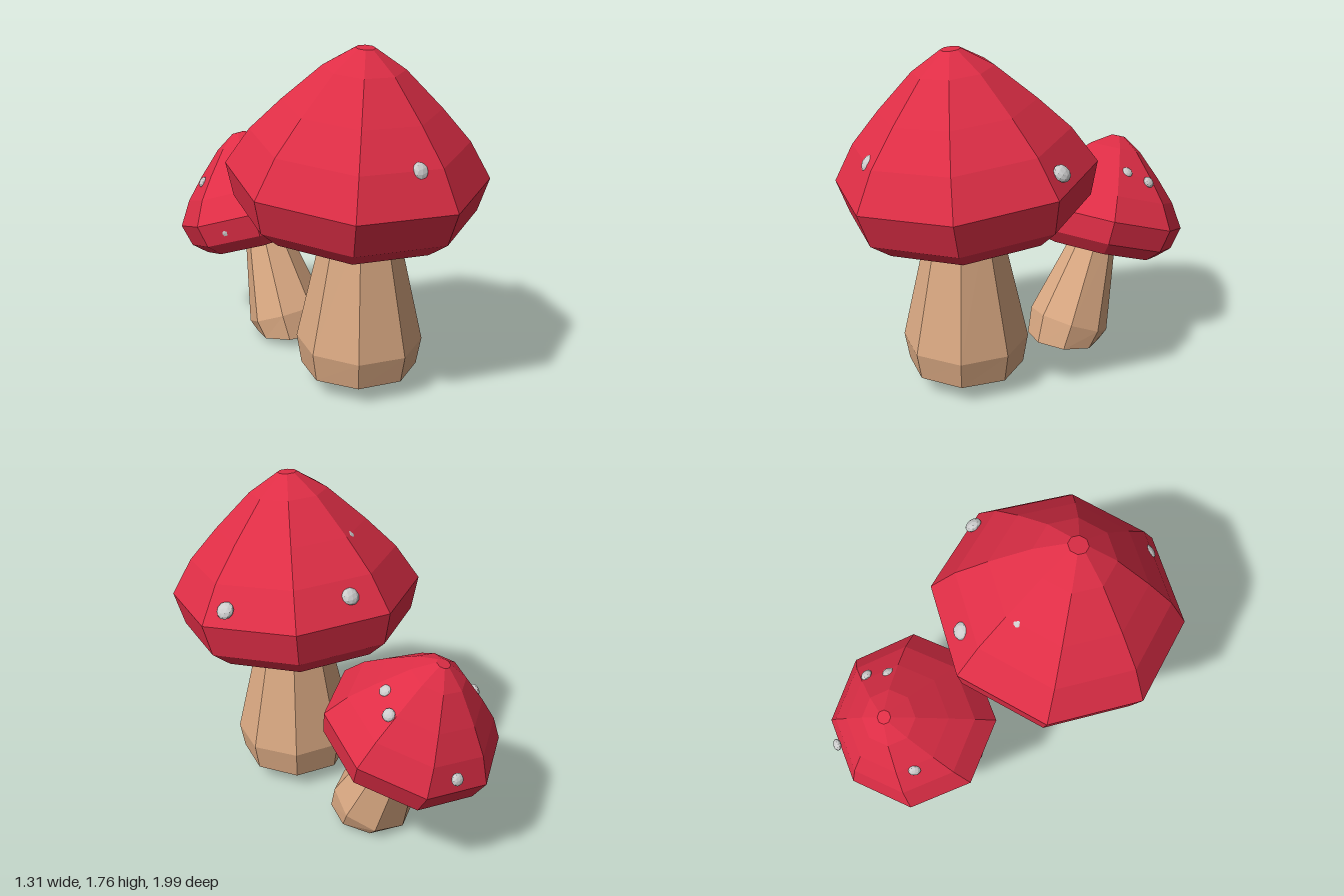
import * as THREE from 'three';

const material = (color) => new THREE.MeshStandardMaterial({ color, flatShading: true });
const red = material(0xdf2e46);
const tan = material(0xd9a882);
const grey = material(0xcccccc);

const SIDES = 8;

// Cap outline [radius, height], from the lower edge to the flat tip
const CAP_PROFILE = [
  [0.505, 0], [0.61, 0.09], [0.655, 0.265], [0.54, 0.45],
  [0.39, 0.61], [0.2, 0.79], [0.05, 0.885], [0, 0.885],
].map(([r, y]) => new THREE.Vector2(r, y));

function addMesh(parent, name, geometry, mat) {
  const mesh = new THREE.Mesh(geometry, mat);
  mesh.name = name;
  parent.add(mesh);
  return mesh;
}

// Eight-sided stem through three rings: [x, y, z, radius, tilt about x]
function stemGeometry(rings) {
  const geometry = new THREE.CylinderGeometry(1, 1, 2, SIDES, 2);
  const pos = geometry.attributes.position;
  for (let i = 0; i < pos.count; i++) {
    const [x, y, z, r, tilt] = rings[Math.round(pos.getY(i) + 1)];
    const along = pos.getZ(i) * r;
    pos.setXYZ(i, x + pos.getX(i) * r, y - along * Math.sin(tilt), z + along * Math.cos(tilt));
  }
  geometry.computeVertexNormals();
  return geometry;
}

function createMushroom(name, { stem, base, rotation, scale, spots }) {
  const mushroom = new THREE.Group();
  mushroom.name = name;
  addMesh(mushroom, 'stem', stemGeometry(stem), tan);

  // Tilted cap with a flat underside
  const cap = new THREE.Group();
  cap.name = 'cap';
  cap.position.set(...base);
  cap.rotation.set(...rotation);
  cap.scale.setScalar(scale);
  mushroom.add(cap);
  cap.updateMatrixWorld(true);
  addMesh(cap, 'capTop', new THREE.LatheGeometry(CAP_PROFILE, SIDES), red);
  addMesh(cap, 'capUnderside', new THREE.CircleGeometry(0.505, SIDES).rotateX(Math.PI / 2), tan);

  // Flattened spots lying on the cap surface
  const up = new THREE.Vector3(0, 1, 0);
  for (const point of spots) {
    const spot = addMesh(cap, 'spot', new THREE.IcosahedronGeometry(0.046, 1), grey);
    spot.position.copy(cap.worldToLocal(new THREE.Vector3(...point)));
    const normal = spot.position.clone().setY(0).normalize();
    if (spot.position.y > 0.25) normal.multiplyScalar(0.76).setY(0.65);
    else normal.setY(-0.2);
    spot.quaternion.setFromUnitVectors(up, normal.normalize());
    spot.scale.set(1, 0.6, 1);
  }
  return mushroom;
}

export function createModel() {
  const model = new THREE.Group();
  model.name = 'mushrooms';

  model.add(createMushroom('largeMushroom', {
    stem: [
      [0, 0.095, 0.375, 0.3, -0.02],
      [0, 0.245, 0.375, 0.325, 0.01],
      [0, 0.93, 0.375, 0.17, 0.05],
    ],
    base: [0, 0.88, 0.325],
    rotation: [0.1, 0, 0.03],
    scale: 1,
    spots: [
      [0.06, 1.44, 0.71], [-0.11, 1.27, 0.85], [0.3, 1.345, 0.7], [-0.45, 1.38, 0.38],
      [-0.06, 1.5, 0.03], [0.13, 1.31, -0.16], [0.57, 1.255, 0.26],
    ],
  }));

  model.add(createMushroom('smallMushroom', {
    stem: [
      [0.095, 0.035, -0.26, 0.2, -0.15],
      [0.095, 0.13, -0.305, 0.222, -0.41],
      [0.1, 0.6, -0.505, 0.115, -0.38],
    ],
    base: [0.105, 0.535, -0.49],
    rotation: [-0.34, 0.06, 0.05],
    scale: 0.705,
    spots: [
      [-0.17, 0.87, -0.72], [0.25, 0.67, -0.94], [0.37, 0.945, -0.615],
      [0.29, 1.0, -0.525], [-0.27, 0.68, -0.39],
    ],
  }));

  return model;
}
